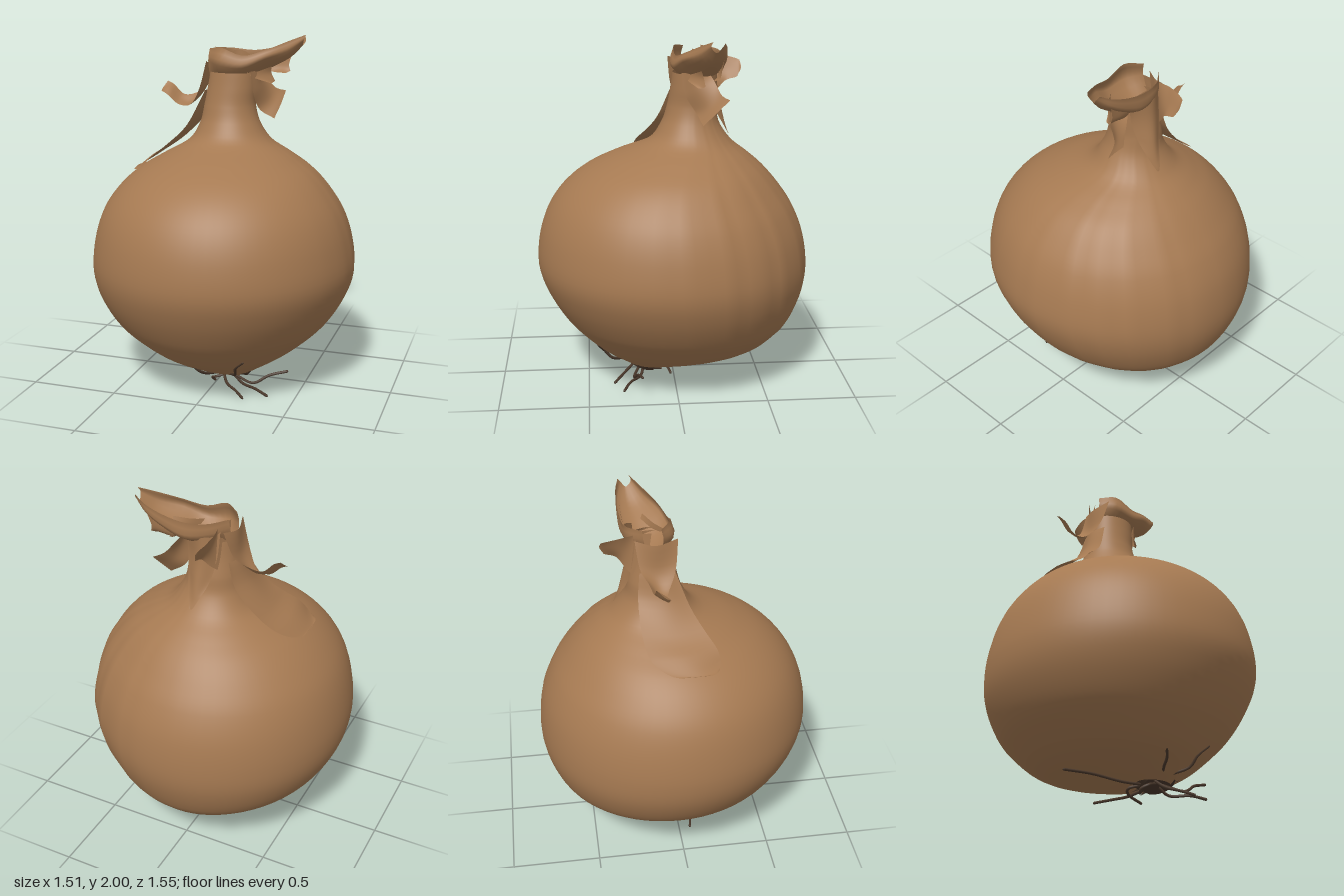
import * as THREE from 'three';
import { ParametricGeometry } from 'three/addons/geometries/ParametricGeometry.js';

const V = (p) => new THREE.Vector3(...p);
const curve = (pts) => new THREE.CatmullRomCurve3(pts, false, 'catmullrom', 0.5);

// Smooth skin through rows of control points
function sheetGeometry(rows, nu = 12, nv = 20) {
  const across = rows.map((r) => curve(r.map(V)));
  return new ParametricGeometry((u, v, target) => {
    target.copy(curve(across.map((c) => c.getPoint(u))).getPoint(v));
  }, nu, nv);
}

// Onion outline: y, then left/right x limits, then back/front z limits
const OUTLINE = [
  [0.09, 0.0, 0.2, 0.08, 0.24],
  [0.125, -0.15, 0.28, -0.2, 0.32],
  [0.2, -0.4, 0.42, -0.52, 0.45],
  [0.3, -0.56, 0.54, -0.65, 0.56],
  [0.4, -0.66, 0.63, -0.715, 0.645],
  [0.55, -0.735, 0.715, -0.765, 0.73],
  [0.7, -0.757, 0.755, -0.775, 0.775],
  [0.87, -0.735, 0.735, -0.75, 0.762],
  [1.02, -0.685, 0.685, -0.69, 0.712],
  [1.14, -0.605, 0.61, -0.61, 0.63],
  [1.24, -0.5, 0.515, -0.525, 0.51],
  [1.32, -0.37, 0.39, -0.435, 0.35],
  [1.4, -0.235, 0.25, -0.335, 0.145],
  [1.5, -0.172, 0.178, -0.265, 0.065],
  [1.6, -0.15, 0.148, -0.245, 0.03],
  [1.7, -0.13, 0.15, -0.225, 0.012],
  [1.79, -0.115, 0.15, -0.215, 0.0],
];

function bulbGeometry() {
  const xs = curve(OUTLINE.map(([y, a, b]) => new THREE.Vector3(y, a, b)));
  const zs = curve(OUTLINE.map(([y, , , a, b]) => new THREE.Vector3(y, a, b)));
  return new ParametricGeometry((u, v, target) => {
    const t = u * Math.PI * 2;
    const X = xs.getPoint(v), Z = zs.getPoint(v);
    // faint vertical wrinkles on the back of the left flank
    const side = Math.max(0, Math.cos(t - 0.6)) ** 4;
    const k = 1 + 0.005 * side * Math.sin(t * 24) * Math.sin(Math.PI * v);
    target.set(
      (X.y + X.z) / 2 + Math.cos(t) * k * (X.z - X.y) / 2,
      X.x,
      (Z.y + Z.z) / 2 - Math.sin(t) * k * (Z.z - Z.y) / 2,
    );
  }, 64, 72);
}

// Papery leaves and shreds around the neck
const LEAVES = {
  foldedTop: [
    [[-0.11, 1.92, -0.07], [-0.117, 1.85, -0.06], [-0.118, 1.74, -0.11], [-0.117, 1.85, -0.16], [-0.11, 1.92, -0.17]],
    [[-0.02, 1.93, -0.01], [-0.03, 1.83, 0.005], [0.0, 1.72, -0.11], [-0.03, 1.82, -0.23], [-0.02, 1.91, -0.25]],
    [[0.1, 1.89, -0.01], [0.1, 1.82, 0.0], [0.12, 1.76, -0.12], [0.1, 1.8, -0.255], [0.1, 1.9, -0.265]],
    [[0.22, 1.92, -0.05], [0.22, 1.87, -0.04], [0.22, 1.81, -0.15], [0.22, 1.84, -0.26], [0.22, 1.92, -0.27]],
    [[0.33, 1.965, -0.12], [0.33, 1.91, -0.11], [0.33, 1.87, -0.18], [0.33, 1.9, -0.255], [0.33, 1.955, -0.265]],
    [[0.42, 2.0, -0.18], [0.41, 1.97, -0.17], [0.4, 1.94, -0.2], [0.41, 1.965, -0.225], [0.4, 1.99, -0.245]],
  ],
  rightPetal: [
    [[-0.12, 1.68, 0.0], [-0.145, 1.68, -0.1], [-0.12, 1.68, -0.19]],
    [[-0.2, 1.5, 0.07], [-0.2, 1.53, -0.07], [-0.17, 1.54, -0.205]],
    [[-0.29, 1.4, 0.135], [-0.31, 1.39, -0.03], [-0.3, 1.4, -0.2]],
    [[-0.37, 1.33, 0.19], [-0.42, 1.315, 0.02], [-0.42, 1.31, -0.165]],
    [[-0.42, 1.275, 0.205], [-0.485, 1.255, 0.09], [-0.495, 1.255, -0.06]],
    [[-0.46, 1.25, 0.19], [-0.49, 1.245, 0.16], [-0.505, 1.25, 0.07]],
  ],
  rightCurl: [
    [[-0.1, 1.86, 0.02], [-0.13, 1.84, -0.1], [-0.1, 1.86, -0.21]],
    [[-0.15, 1.7, 0.0], [-0.15, 1.69, -0.1], [-0.15, 1.72, -0.19]],
    [[-0.22, 1.6, -0.05], [-0.22, 1.61, -0.1], [-0.21, 1.66, -0.15]],
    [[-0.3, 1.595, -0.06], [-0.3, 1.62, -0.1], [-0.29, 1.645, -0.135]],
    [[-0.36, 1.645, -0.055], [-0.36, 1.68, -0.095], [-0.35, 1.7, -0.13]],
    [[-0.405, 1.67, -0.06], [-0.405, 1.685, -0.09], [-0.39, 1.72, -0.13]],
  ],
  backCurl: [
    [[-0.1, 1.6, -0.17], [-0.1, 1.76, -0.14], [-0.1, 1.9, -0.12]],
    [[-0.05, 1.67, -0.25], [-0.06, 1.77, -0.23], [-0.07, 1.88, -0.2]],
    [[-0.02, 1.73, -0.3], [-0.05, 1.79, -0.3], [-0.08, 1.87, -0.28]],
    [[-0.015, 1.75, -0.36], [-0.04, 1.8, -0.37], [-0.07, 1.85, -0.36]],
    [[-0.02, 1.76, -0.37], [-0.03, 1.8, -0.39], [-0.06, 1.84, -0.385]],
  ],
  backTongue: [
    [[-0.08, 1.88, -0.2], [0.02, 1.9, -0.25], [0.13, 1.85, -0.2]],
    [[-0.07, 1.72, -0.22], [0.02, 1.72, -0.25], [0.12, 1.72, -0.19]],
    [[-0.04, 1.58, -0.25], [0.03, 1.58, -0.275], [0.1, 1.6, -0.225]],
    [[0.0, 1.49, -0.295], [0.035, 1.48, -0.3], [0.075, 1.5, -0.28]],
    [[0.03, 1.43, -0.32], [0.04, 1.425, -0.322], [0.05, 1.43, -0.32]],
  ],
  leftFlap: [
    [[0.14, 1.8, -0.04], [0.17, 1.8, -0.11], [0.14, 1.8, -0.19]],
    [[0.15, 1.68, -0.06], [0.18, 1.72, -0.13], [0.18, 1.75, -0.22]],
    [[0.17, 1.58, -0.12], [0.21, 1.63, -0.18], [0.23, 1.69, -0.25]],
    [[0.25, 1.525, -0.15], [0.27, 1.6, -0.22], [0.28, 1.67, -0.29]],
  ],
  outerShred: [
    [[0.15, 1.86, -0.25], [0.25, 1.88, -0.25], [0.33, 1.9, -0.25]],
    [[0.2, 1.79, -0.23], [0.25, 1.81, -0.24], [0.31, 1.83, -0.24]],
    [[0.29, 1.78, -0.2], [0.3, 1.78, -0.21], [0.32, 1.79, -0.23]],
  ],
  innerShred: [
    [[0.1, 1.82, -0.03], [0.16, 1.83, -0.08], [0.24, 1.85, -0.13]],
    [[0.14, 1.77, -0.06], [0.18, 1.78, -0.1], [0.23, 1.79, -0.15]],
    [[0.23, 1.73, -0.12], [0.24, 1.73, -0.14], [0.25, 1.74, -0.16]],
  ],
};

// Root strands as short paths
const ROOTS = [
  [[0.08, 0.08, 0.16], [-0.08, 0.08, 0.12], [-0.25, 0.1, 0.08], [-0.41, 0.1, 0.05]],
  [[0.1, 0.08, 0.12], [0.1, 0.07, -0.05], [0.12, 0.09, -0.2], [0.1, 0.1, -0.36]],
  [[0.13, 0.08, 0.2], [0.25, 0.06, 0.24], [0.34, 0.11, 0.22], [0.44, 0.14, 0.2]],
  [[0.12, 0.12, 0.28], [0.18, 0.15, 0.36], [0.2, 0.21, 0.41], [0.25, 0.26, 0.44]],
  [[0.12, 0.07, 0.18], [0.18, 0.03, 0.2], [0.27, 0.035, 0.26], [0.35, 0.02, 0.3]],
  [[0.06, 0.1, 0.2], [0.1, 0.05, 0.26], [0.17, 0.03, 0.31], [0.22, 0.01, 0.35]],
  [[0.08, 0.12, 0.26], [0.02, 0.13, 0.34], [-0.01, 0.16, 0.4], [-0.04, 0.2, 0.43]],
  [[0.05, 0.08, 0.14], [-0.02, 0.06, 0.1], [0.02, 0.04, 0.05], [0.13, 0.02, 0.02]],
  [[0.08, 0.08, 0.2], [0.02, 0.06, 0.22], [-0.01, 0.04, 0.19], [0.0, 0.02, 0.17]],
];

export function createModel() {
  const group = new THREE.Group();
  const skin = new THREE.MeshStandardMaterial({ color: 0xa67a52 });
  skin.name = 'onion skin';
  skin.side = THREE.DoubleSide;
  const rootBrown = new THREE.MeshStandardMaterial({ color: 0x4a382b });
  rootBrown.name = 'root brown';
  const add = (parent, name, geometry, material) => {
    const mesh = new THREE.Mesh(geometry, material);
    mesh.name = name;
    parent.add(mesh);
    return mesh;
  };

  add(group, 'bulb', bulbGeometry(), skin);
  for (const [name, rows] of Object.entries(LEAVES)) add(group, name, sheetGeometry(rows), skin);

  // Sloping basal plate with a ragged fringe
  const base = new THREE.Group();
  base.name = 'rootBase';
  base.position.set(0.11, 0.115, 0.18);
  base.rotation.x = -0.4;
  group.add(base);
  add(base, 'basalPlate', new THREE.CylinderGeometry(0.145, 0.09, 0.07, 18), rootBrown);
  for (let i = 0; i < 18; i++) {
    const a = i * Math.PI / 9;
    const spike = add(base, 'fringe', new THREE.ConeGeometry(0.022, 0.09 + 0.03 * Math.sin(i * 5), 4), rootBrown);
    spike.scale.z = 0.4;
    spike.position.set(Math.cos(a) * 0.135, 0.02 + 0.012 * Math.cos(i * 3), Math.sin(a) * 0.135);
    spike.quaternion.setFromUnitVectors(new THREE.Vector3(0, 1, 0),
      new THREE.Vector3(Math.cos(a), 0.25, Math.sin(a)).normalize());
  }
  for (const path of ROOTS) {
    add(group, 'root', new THREE.TubeGeometry(curve(path.map(V)), 20, 0.008, 6), rootBrown);
    const tip = add(group, 'rootTip', new THREE.SphereGeometry(0.008, 6, 4), rootBrown);
    tip.position.set(...path[path.length - 1]);
  }
  return group;
}
